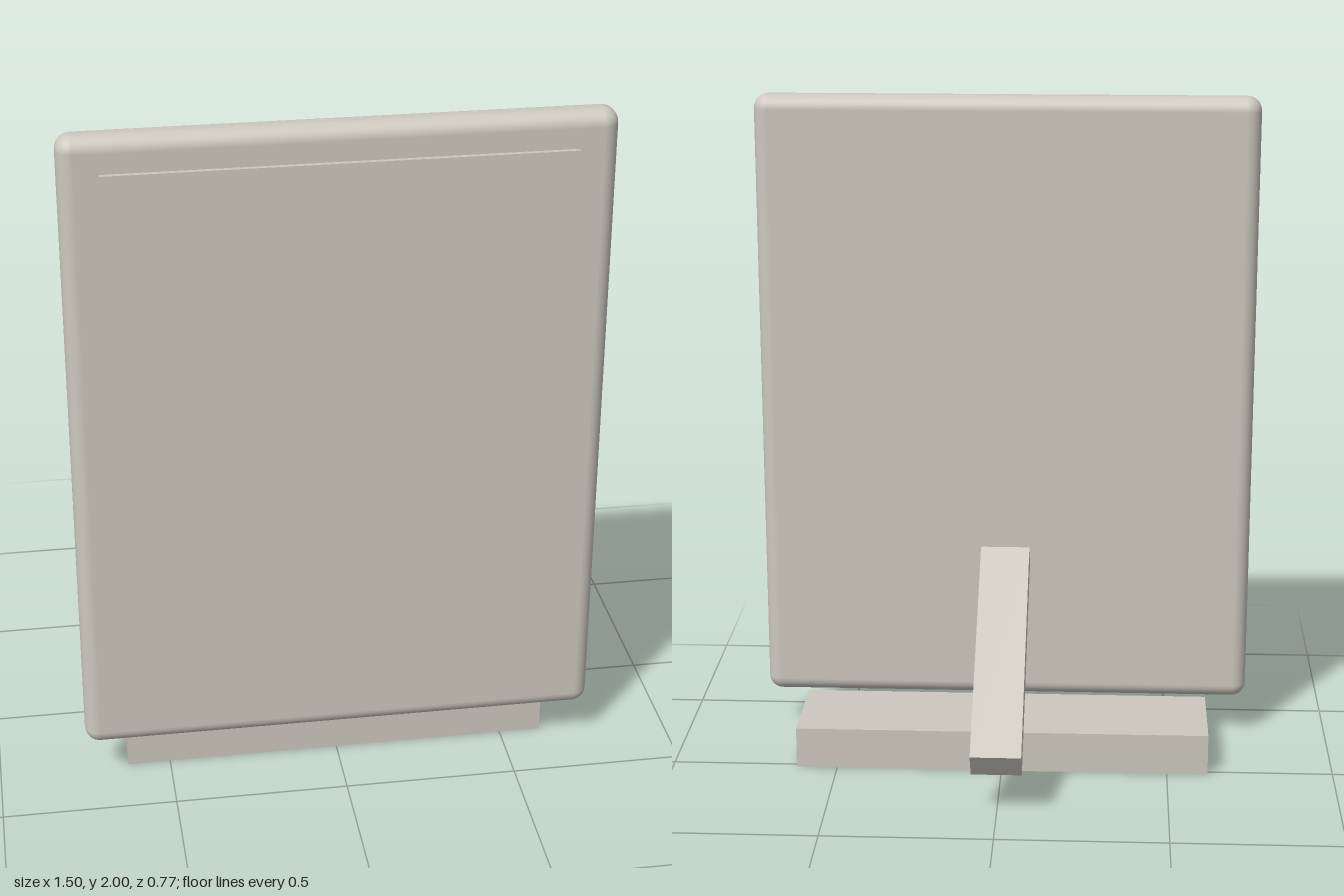
import * as THREE from 'three';
import { RoundedBoxGeometry } from 'three/addons/geometries/RoundedBoxGeometry.js';

export function createModel() {
  const model = new THREE.Group();
  model.name = 'tabletOnStand';
  const warmGrey = new THREE.MeshStandardMaterial({ color: 0xccc8be });
  warmGrey.name = 'warmGrey';

  const add = (name, geometry, x, y, z) => {
    const mesh = new THREE.Mesh(geometry, warmGrey);
    mesh.name = name;
    mesh.position.set(x, y, z);
    model.add(mesh);
    return mesh;
  };

  // Upright slab with softly rounded edges
  add('panel', new RoundedBoxGeometry(1.495, 1.872, 0.098, 4, 0.043), 0, 1.064, 0.323);

  // Slightly raised screen on the front
  add('screen', new THREE.BoxGeometry(1.275, 1.62, 0.03), 0, 1.09, 0.37);

  // Low block under and behind the panel
  add('base', new THREE.BoxGeometry(1.246, 0.125, 0.314), 0, 0.0625, 0.138);

  // Slanted prop leaning against the back
  const strut = add('backStrut', new THREE.BoxGeometry(0.148, 0.093, 0.75), 0, 0.378, -0.052);
  strut.rotation.x = -0.613;

  return model;
}
